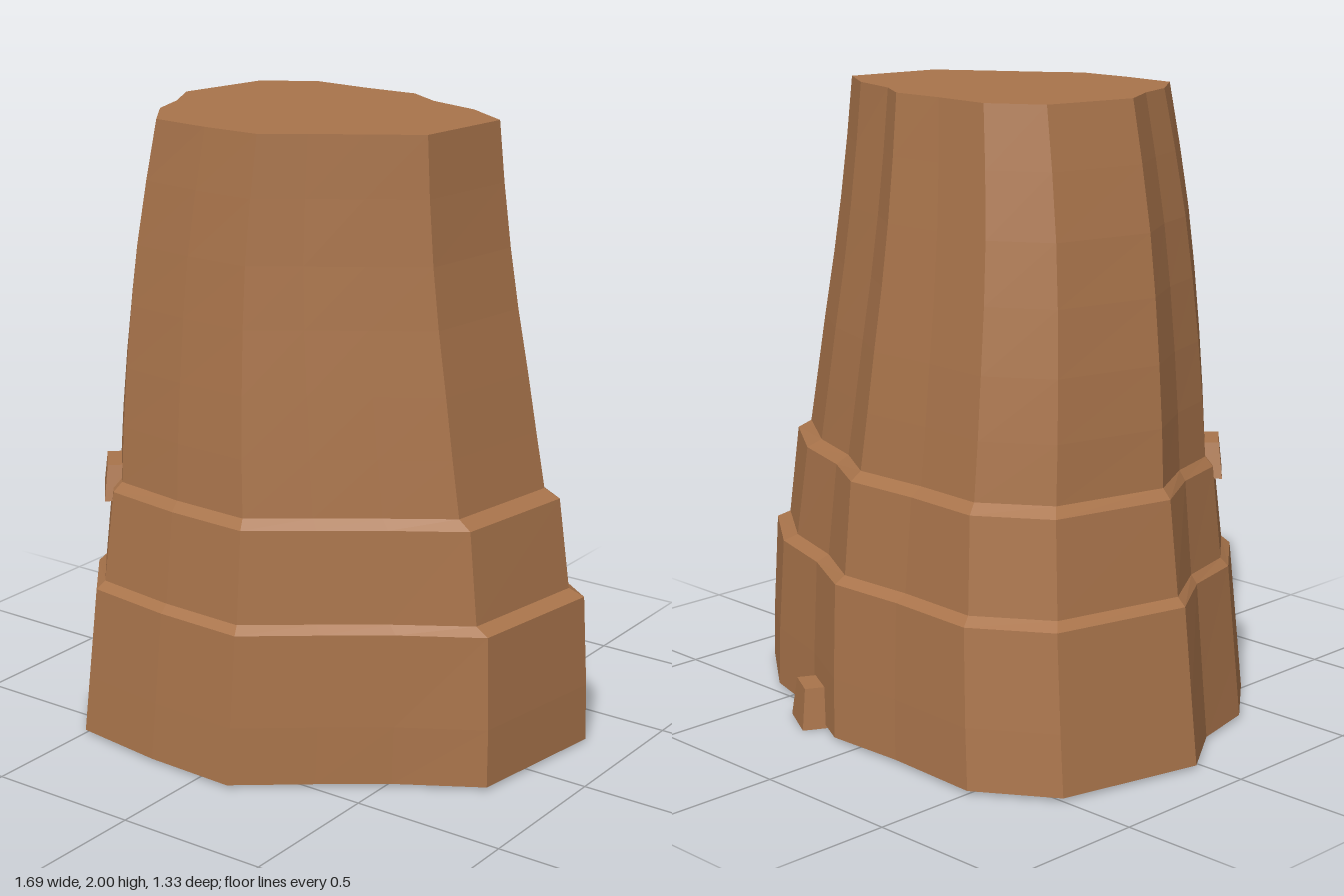
import * as THREE from 'three';

// Outlines as [x, z], running left edge -> back -> right edge -> front
const BASE = [[-0.85, -0.03], [-0.74, -0.5], [-0.5, -0.66], [-0.17, -0.645], [0.1, -0.655], [0.33, -0.54],
  [0.6, -0.46], [0.84, -0.28], [0.77, 0.2], [0.52, 0.35], [0.33, 0.49], [0.115, 0.655],
  [-0.19, 0.645], [-0.5, 0.605], [-0.67, 0.39], [-0.72, 0.17]];
const WAIST = [[-0.69, -0.02], [-0.6, -0.39], [-0.4, -0.53], [-0.16, -0.52], [0.1, -0.53], [0.27, -0.43],
  [0.48, -0.36], [0.7, -0.215], [0.64, 0.18], [0.45, 0.31], [0.28, 0.43], [0.11, 0.555],
  [-0.15, 0.545], [-0.4, 0.51], [-0.54, 0.35], [-0.59, 0.17]];
const TOP = [[-0.505, 0.03], [-0.44, -0.27], [-0.28, -0.37], [-0.08, -0.36], [0.1, -0.365], [0.22, -0.29],
  [0.4, -0.24], [0.555, -0.14], [0.51, 0.18], [0.36, 0.28], [0.22, 0.37], [0.1, 0.457],
  [-0.09, 0.46], [-0.285, 0.445], [-0.39, 0.3], [-0.43, 0.17]];

// Horizontal slice blended between two outlines, with a small sideways lean
function slice(from, to, t, y, lean = 0) {
  return from.map(([x, z], i) => [x + (to[i][0] - x) * t + lean, y, z + (to[i][1] - z) * t]);
}

// Closed solid skinned over the slices, bottom to top
function loft(slices) {
  const pos = [];
  const n = slices[0].length;
  const tri = (...corners) => corners.forEach((p) => pos.push(...p));
  for (let r = 0; r < slices.length - 1; r++) {
    for (let i = 0; i < n; i++) {
      const j = (i + 1) % n;
      const [lo, hi] = [slices[r], slices[r + 1]];
      tri(lo[i], hi[i], lo[j]);
      tri(lo[j], hi[i], hi[j]);
    }
  }
  const bottom = slices[0];
  const top = slices[slices.length - 1];
  for (let i = 0; i < n; i++) {
    const j = (i + 1) % n;
    tri([0, bottom[0][1], 0], bottom[i], bottom[j]);
    tri([0, top[0][1], 0], top[j], top[i]);
  }
  const geo = new THREE.BufferGeometry();
  geo.setAttribute('position', new THREE.Float32BufferAttribute(pos, 3));
  geo.computeVertexNormals();
  return geo;
}

// Small block whose top is narrower than its foot
function chip(w, h, d, taper) {
  const geo = new THREE.BoxGeometry(w, h, d).translate(0, h / 2, 0);
  const p = geo.attributes.position;
  for (let i = 0; i < p.count; i++) {
    if (p.getY(i) > h / 2) p.setXYZ(i, p.getX(i) * taper, h, p.getZ(i) * taper);
  }
  geo.computeVertexNormals();
  return geo;
}

export function createModel() {
  const group = new THREE.Group();
  const rock = new THREE.MeshStandardMaterial({ color: 0xa9744b, flatShading: true });
  const add = (name, geo, x = 0, y = 0, z = 0, turn = 0) => {
    const mesh = new THREE.Mesh(geo, rock);
    mesh.name = name;
    mesh.position.set(x, y, z);
    mesh.rotation.y = turn;
    group.add(mesh);
  };

  // Column with two stepped ledges and a curved, tapering shaft
  add('rockColumn', loft([
    slice(BASE, WAIST, 0, 0.01),
    slice(BASE, WAIST, 0.08, 0.2, 0.01),
    slice(BASE, WAIST, 0.24, 0.5, 0.02),
    slice(BASE, WAIST, 0.5, 0.525, 0.01),
    slice(BASE, WAIST, 0.74, 0.82, 0.01),
    slice(WAIST, TOP, 0, 0.85),
    slice(WAIST, TOP, 0.13, 1.03, -0.01),
    slice(WAIST, TOP, 0.28, 1.22, -0.017),
    slice(WAIST, TOP, 0.46, 1.42, -0.023),
    slice(WAIST, TOP, 0.63, 1.61, -0.023),
    slice(WAIST, TOP, 0.82, 1.81, -0.014),
    slice(WAIST, TOP, 1, 2),
  ]));

  // Loose stones: one at the back foot, one resting on the upper ledge
  add('footStone', chip(0.16, 0.13, 0.1, 0.72), 0.28, 0, -0.59, -0.49);
  add('ledgeStone', chip(0.2, 0.11, 0.08, 0.7), -0.49, 0.78, 0.43, -0.86);
  return group;
}
